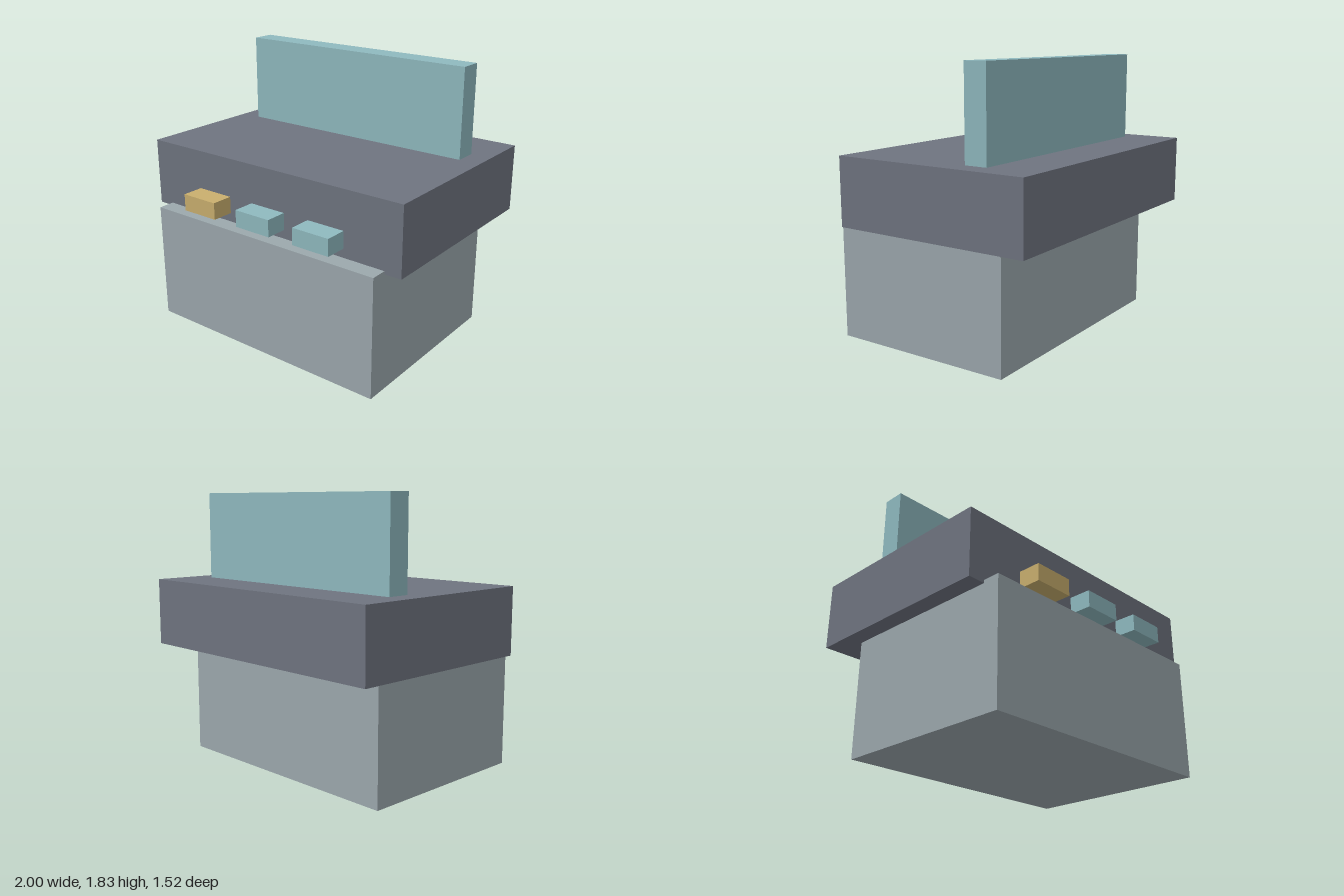
import * as THREE from 'three';

const material = (name, color) => {
  const m = new THREE.MeshStandardMaterial({ color });
  m.name = name;
  return m;
};

// Box given by its [min, max] range on each axis
function block(name, mat, [x0, x1], [y0, y1], [z0, z1]) {
  const mesh = new THREE.Mesh(new THREE.BoxGeometry(x1 - x0, y1 - y0, z1 - z0), mat);
  mesh.position.set((x0 + x1) / 2, (y0 + y1) / 2, (z0 + z1) / 2);
  mesh.name = name;
  return mesh;
}

export function createModel() {
  const paleGrey = material('pale grey', 0x9ca8ad);
  const slate = material('slate', 0x6f7480);
  const teal = material('teal', 0x8fb9bf);
  const gold = material('gold', 0xc9af6e);

  const model = new THREE.Group();
  model.name = 'console';

  // Cabinet, overhanging deck and upright panel
  model.add(
    block('base', paleGrey, [-0.885, 0.885], [0, 0.8], [-0.53, 0.725]),
    block('deck', slate, [-1, 1], [0.78, 1.235], [-0.76, 0.613]),
    block('backPanel', teal, [-0.858, 0.858], [1.235, 1.83], [-0.415, -0.26])
  );

  // Row of buttons on the deck front
  const buttons = new THREE.Group();
  buttons.name = 'buttons';
  [gold, teal, teal].forEach((mat, i) => {
    const x = (i - 1) * 0.458;
    buttons.add(block('button' + (i + 1), mat, [x - 0.135, x + 0.135], [0.86, 0.973], [0.613, 0.76]));
  });
  model.add(buttons);

  return model;
}
